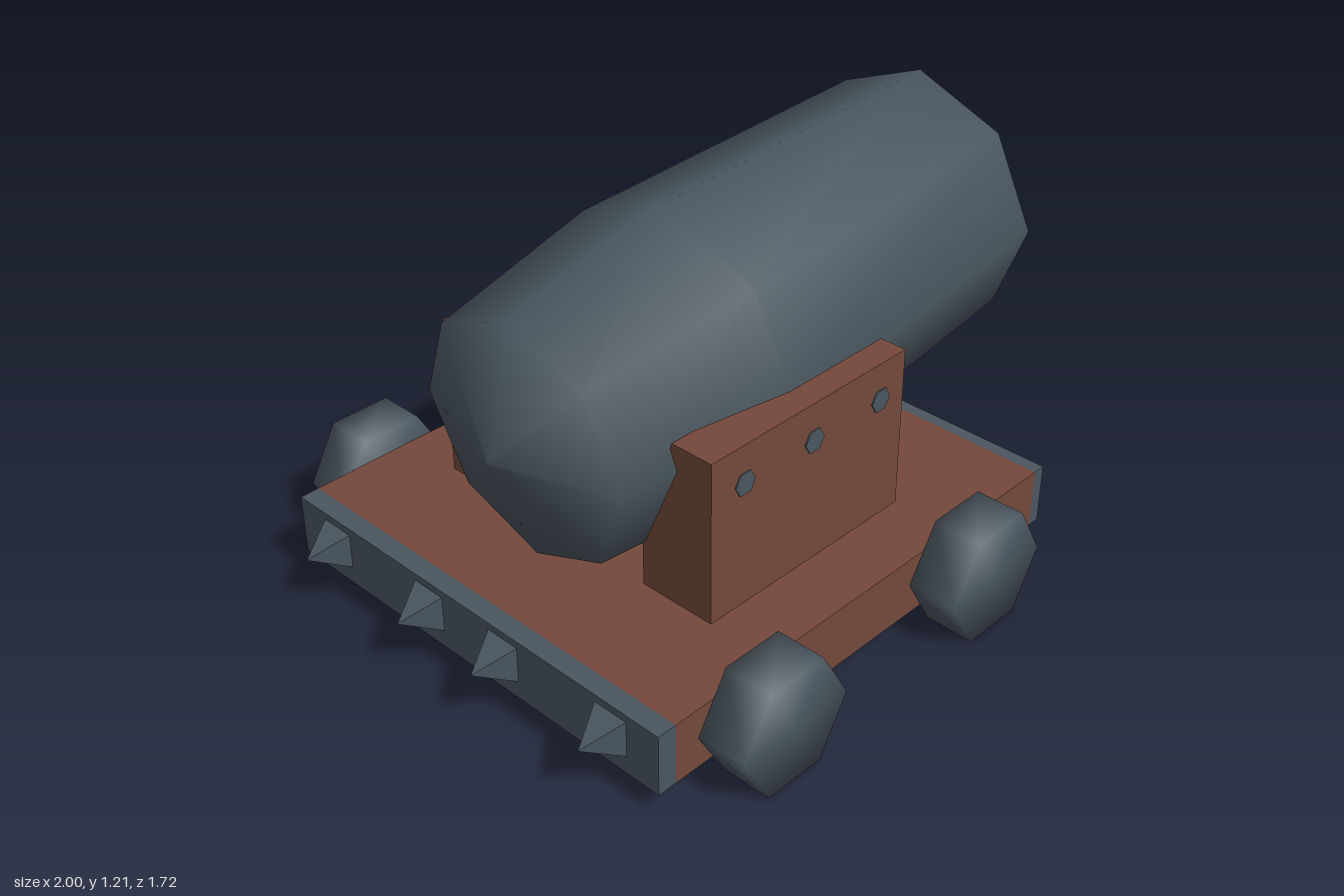
import * as THREE from 'three';
import { mergeVertices } from 'three/addons/utils/BufferGeometryUtils.js';

export function createModel() {
  const model = new THREE.Group();
  const steel = new THREE.MeshStandardMaterial({ name: 'darkSteel', color: 0x4a565f, side: THREE.DoubleSide });
  const wood = new THREE.MeshStandardMaterial({ name: 'redWood', color: 0x74483a, side: THREE.DoubleSide });

  const add = (parent, name, geometry, material, x = 0, y = 0, z = 0) => {
    const mesh = new THREE.Mesh(geometry, material);
    mesh.name = name;
    mesh.position.set(x, y, z);
    parent.add(mesh);
    return mesh;
  };

  // Box with only the chosen faces: 0 +x, 1 -x, 2 +y, 3 -y, 4 +z, 5 -z
  const partBox = (w, h, d, faces) => {
    const g = new THREE.BoxGeometry(w, h, d);
    const index = Array.from(g.index.array);
    g.clearGroups();
    g.setIndex(faces.flatMap((f) => index.slice(f * 6, f * 6 + 6)));
    return g;
  };

  // Smooth normals over all shared corners
  const soften = (g) => {
    g.deleteAttribute('normal');
    g.deleteAttribute('uv');
    const merged = mergeVertices(g);
    merged.computeVertexNormals();
    return merged;
  };

  // Barrel: eight sides, pointed breech, flat muzzle, tilted up
  const profile = [[0, -0.672], [0.37, -0.557], [0.445, 0], [0.404, 1.08], [0, 1.08]]
    .map(([r, y]) => new THREE.Vector2(r, y));
  const barrel = add(model, 'barrel', new THREE.LatheGeometry(profile, 8), steel, -0.11, 0.713, 0);
  barrel.rotation.z = THREE.MathUtils.degToRad(-85);

  // Platform: hollow underneath, leaning very slightly
  const platform = new THREE.Group();
  platform.name = 'platform';
  platform.position.set(-0.1, 0.165, 0);
  platform.rotation.z = -0.0044;
  model.add(platform);
  add(platform, 'deck', partBox(1.48, 0.187, 1.42, [2, 4, 5]), wood, 0.01);
  add(platform, 'rearStrip', partBox(0.06, 0.187, 1.42, [1, 2, 4, 5]), steel, -0.76);
  add(platform, 'frontStrip', partBox(0.04, 0.187, 1.42, [0, 2, 4, 5]), steel, 0.77);

  // Square spikes along both ends
  for (const end of [-1, 1]) {
    for (const z of [-0.545, -0.148, 0.148, 0.545]) {
      let spike = new THREE.ConeGeometry(0.055 * Math.SQRT2, 0.11, 4, 1, true);
      spike.rotateY(Math.PI / 4);
      spike.rotateZ(-end * Math.PI / 2);
      spike = spike.toNonIndexed();
      spike.computeVertexNormals();
      add(platform, 'spike', spike, steel, end * 0.845, end > 0 ? 0.003 : 0.017, z);
    }
  }

  // Mounting ring set in the deck beneath the barrel
  const ring = new THREE.Shape().absarc(0, 0, 0.14, 0, Math.PI * 2);
  ring.holes.push(new THREE.Path().absarc(0, 0, 0.09, 0, Math.PI * 2));
  const ringGeometry = new THREE.ExtrudeGeometry(ring, { depth: 0.009, bevelEnabled: false, curveSegments: 8 });
  ringGeometry.rotateX(-Math.PI / 2);
  add(model, 'mountingRing', ringGeometry, steel, -0.28, 0.254, 0);

  for (const side of [-1, 1]) {
    // Cheek boards, cut back on the inside to cradle the barrel
    const outline = [[0.51, 0.24], [0.51, 0.755], [0.375, 0.755], [0.265, 0.42], [0.265, 0.24]];
    const shape = new THREE.Shape(outline.map(([z, y]) => new THREE.Vector2(side * z, y)));
    const cheek = new THREE.ExtrudeGeometry(shape, { depth: 0.755, bevelEnabled: false });
    cheek.rotateY(-Math.PI / 2);
    add(model, 'cheekBoard', cheek, wood, 0.258);

    // Rivets on the outer faces
    for (const x of [-0.375, -0.11, 0.16]) {
      const rivet = new THREE.CylinderGeometry(0.037, 0.037, 0.006, 6);
      rivet.rotateY(Math.PI / 6);
      rivet.rotateX(Math.PI / 2);
      add(model, 'rivet', rivet, steel, x, 0.64, side * 0.511);
    }

    // Six-sided wheels with rounded shading
    for (const x of [-0.56, 0.27]) {
      const wheel = new THREE.CylinderGeometry(0.192, 0.192, 0.15, 6);
      wheel.rotateY(Math.PI / 6);
      wheel.rotateX(Math.PI / 2);
      add(model, 'wheel', soften(wheel), steel, x, 0.167, side * 0.785);
    }
  }
  return model;
}
